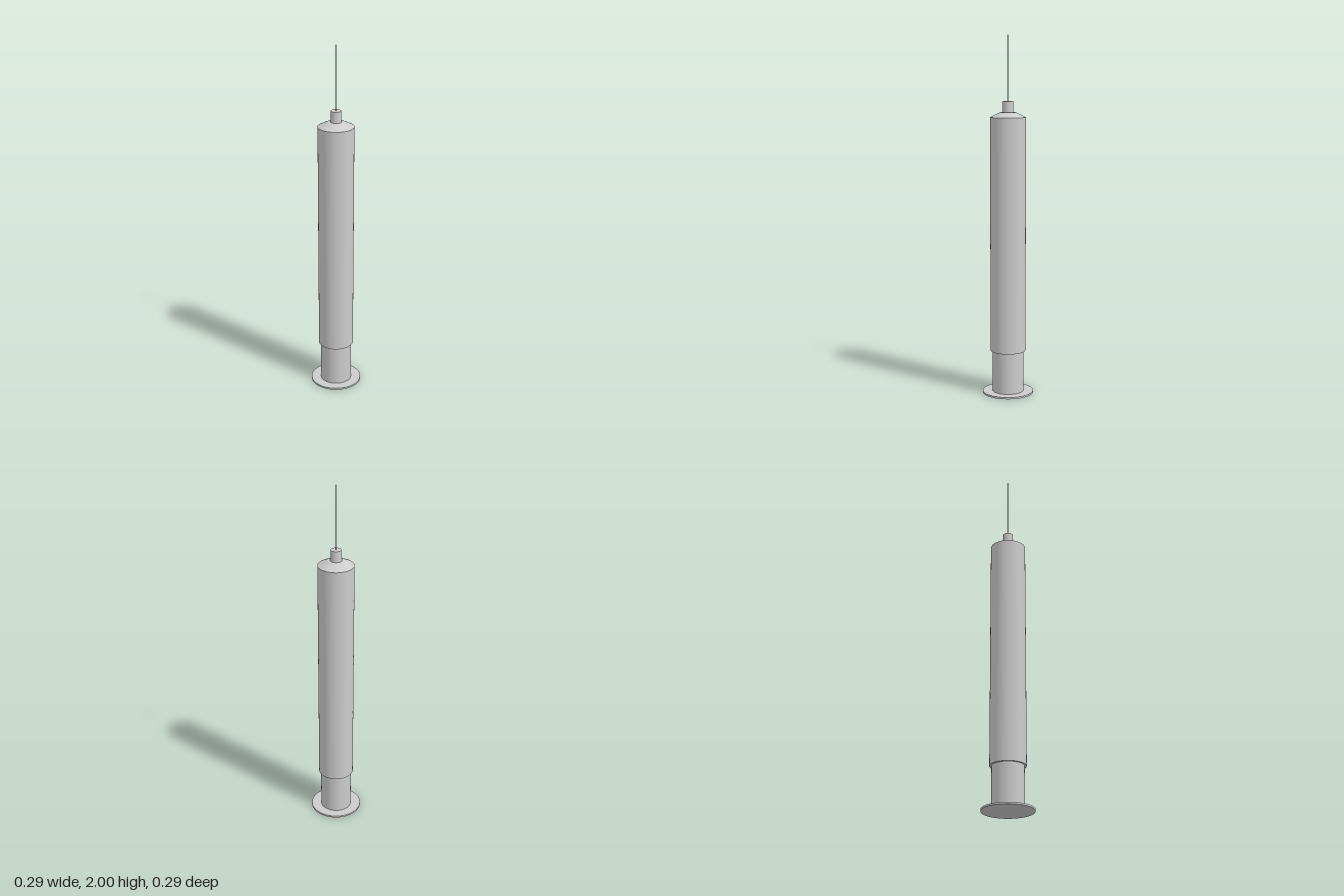
import * as THREE from 'three';

const SEGMENTS = 64;

export function createModel() {
  const model = new THREE.Group();
  model.name = 'syringe';
  const material = new THREE.MeshStandardMaterial({ color: 0xcccccc });

  const add = (name, geometry, y = 0) => {
    const mesh = new THREE.Mesh(geometry, material);
    mesh.name = name;
    mesh.position.y = y;
    model.add(mesh);
  };

  // Upright cylinder between two heights
  const rod = (name, bottom, top, rBottom, rTop = rBottom, sides = SEGMENTS) =>
    add(name, new THREE.CylinderGeometry(rTop, rBottom, top - bottom, sides), (bottom + top) / 2);

  // Lathe with hard edges: every profile segment gets its own pair of points
  const turned = (name, profile) => {
    const group = new THREE.Group();
    group.name = name;
    for (let i = 0; i < profile.length - 1; i++) {
      const points = [profile[i], profile[i + 1]].map(([r, y]) => new THREE.Vector2(r, y));
      const mesh = new THREE.Mesh(new THREE.LatheGeometry(points, SEGMENTS), material);
      mesh.name = `${name}Surface${i + 1}`;
      group.add(mesh);
    }
    model.add(group);
  };

  // Plunger with its thumb rest
  rod('thumbRest', 0, 0.01, 0.143);
  rod('plunger', 0.01, 0.26, 0.088);

  // Barrel: bottom rim, wall, sloping shoulder and flat collar around the hub
  turned('barrel', [[0.086, 0.243], [0.099, 0.243], [0.099, 1.554], [0.044, 1.581], [0.027, 1.581]]);

  // Needle hub and needle
  rod('needleHub', 1.575, 1.642, 0.031, 0.029);
  rod('needle', 1.64, 2, 0.003, 0.003, 16);

  return model;
}
